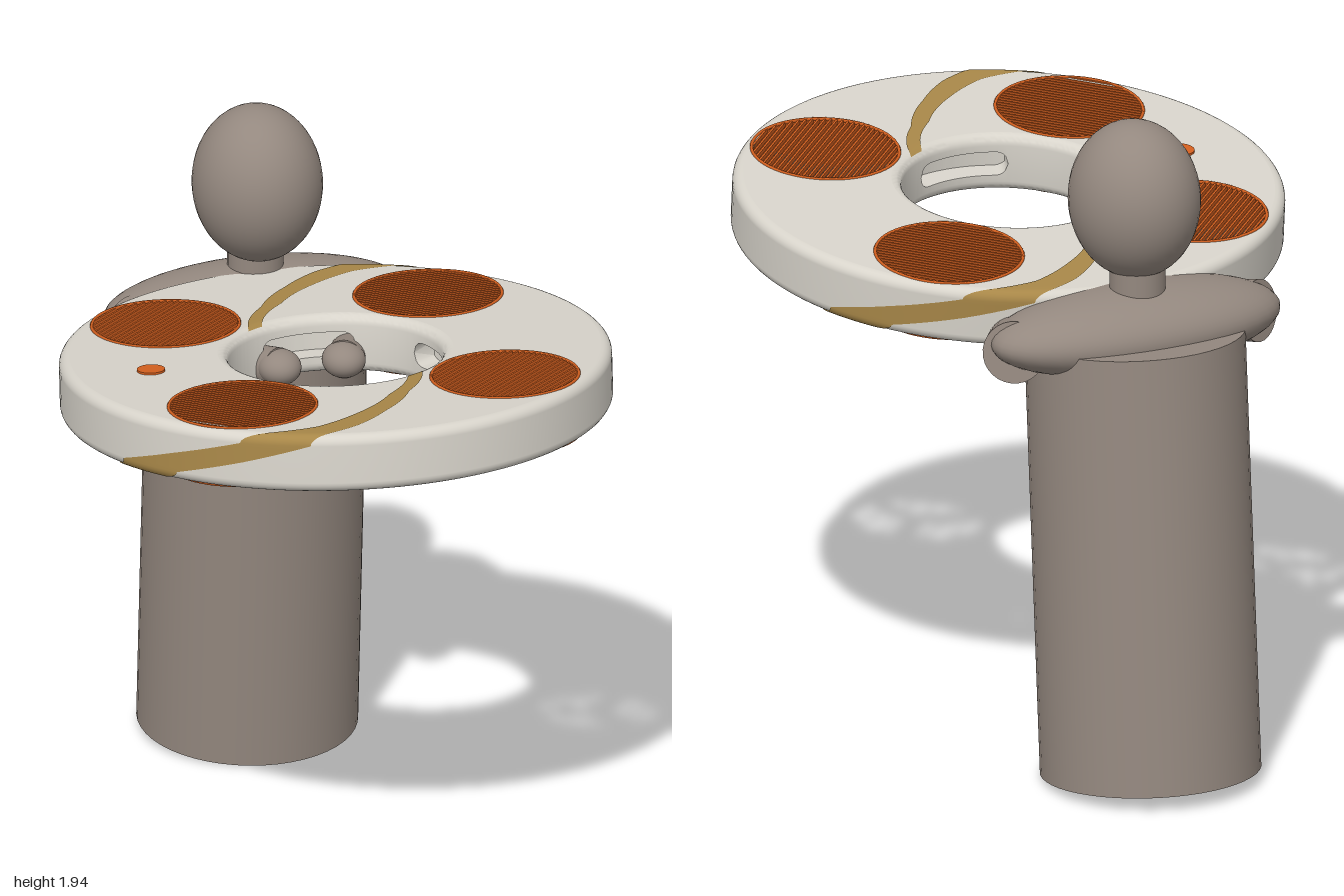
import * as THREE from 'three';
import { toCreasedNormals } from 'three/addons/utils/BufferGeometryUtils.js';

const mat = (name, color, side = THREE.FrontSide) => {
  const m = new THREE.MeshStandardMaterial({ color, side });
  m.name = name;
  return m;
};
const RAD = Math.PI / 180;

// ring dimensions
const RI = 0.305, RO = 0.785, H = 0.085, ROUND = 0.03;
const DUCT = 0.21, DUCT_POS = 0.388;

// quarter-round points about (cx, cy), angles in degrees
const arc = (cx, cy, a0, a1, n = 6) => Array.from({ length: n + 1 }, (_, i) => {
  const a = (a0 + (a1 - a0) * i / n) * RAD;
  return new THREE.Vector2(cx + ROUND * Math.cos(a), cy + ROUND * Math.sin(a));
});

export function createModel() {
  const model = new THREE.Group();
  const skin = mat('figure taupe', 0x94887f);
  const white = mat('ring off white', 0xd8d4cb);
  const orange = mat('grille orange', 0xd4601f, THREE.DoubleSide);
  const gold = mat('stripe gold', 0xa88748, THREE.DoubleSide);
  const dark = mat('fan brown', 0x6a5d53, THREE.DoubleSide);

  const add = (parent, name, geo, material, x = 0, y = 0, z = 0) => {
    const m = new THREE.Mesh(geo, material);
    m.name = name;
    m.position.set(x, y, z);
    parent.add(m);
    return m;
  };

  // ---- figure ----
  const figure = new THREE.Group();
  figure.name = 'figure';
  model.add(figure);
  const ball = (name, rx, ry, rz, x, y, z) =>
    add(figure, name, new THREE.SphereGeometry(1, 40, 28), skin, x, y, z).scale.set(rx, ry, rz);
  const limb = (name, a, b, ra, rb) => {
    const dir = b.clone().sub(a);
    const m = add(figure, name, new THREE.CylinderGeometry(rb, ra, dir.length(), 28), skin);
    m.position.copy(a).add(b).multiplyScalar(0.5);
    m.quaternion.setFromUnitVectors(new THREE.Vector3(0, 1, 0), dir.normalize());
  };
  add(figure, 'body', new THREE.CylinderGeometry(0.315, 0.315, 1.288, 48), skin, 0, 0.667, -0.637)
    .rotation.x = 4.4 * RAD;
  ball('shoulders', 0.45, 0.122, 0.205, 0, 1.332, -0.592);
  add(figure, 'neck', new THREE.CylinderGeometry(0.08, 0.08, 0.2, 32), skin, 0, 1.45, -0.605);
  ball('head', 0.185, 0.23, 0.205, 0, 1.71, -0.585);
  for (const s of [1, -1]) {
    const shoulder = new THREE.Vector3(s * 0.39, 1.313, -0.6);
    const elbow = new THREE.Vector3(s * 0.26, 1.275, -0.38);
    const hand = new THREE.Vector3(s * 0.095, 1.375, -0.04);
    limb('upperArm', shoulder, elbow, 0.09, 0.08);
    ball('elbow', 0.08, 0.08, 0.08, ...elbow.toArray());
    limb('forearm', elbow, hand, 0.075, 0.055);
    ball('hand', 0.062, 0.05, 0.068, ...hand.toArray());
  }

  // ---- ring ----
  const ring = new THREE.Group();
  ring.name = 'ring';
  ring.position.set(0, 1.43, 0.205);
  ring.rotation.x = -5 * RAD;
  model.add(ring);

  // top and bottom plates with four duct holes
  const plate = new THREE.Shape().absarc(0, 0, RO - ROUND, 0, Math.PI * 2);
  plate.holes.push(new THREE.Path().absarc(0, 0, RI + ROUND, 0, Math.PI * 2));
  const corners = [[1, 1], [-1, 1], [-1, -1], [1, -1]];
  for (const [x, z] of corners)
    plate.holes.push(new THREE.Path().absarc(x * DUCT_POS, z * DUCT_POS, DUCT, 0, Math.PI * 2));
  for (const s of [1, -1])
    add(ring, s > 0 ? 'topPlate' : 'bottomPlate', new THREE.ShapeGeometry(plate, 60), white, 0, s * H, 0)
      .rotation.x = -s * Math.PI / 2;

  // rounded outer edge
  const outer = [...arc(RO - ROUND, ROUND - H, -90, 0), ...arc(RO - ROUND, H - ROUND, 0, 90)];
  add(ring, 'outerEdge', new THREE.LatheGeometry(outer, 120), white);

  // rounded inner edge with four grip slots pressed into it
  const slot = [0, 1, 2, 3].map(() => new THREE.Vector2(RI, 0));
  const inner = [...arc(RI + ROUND, H - ROUND, 90, 180), ...slot, ...arc(RI + ROUND, ROUND - H, 180, 270)];
  const innerGeo = new THREE.LatheGeometry(inner, 240);
  const pos = innerGeo.attributes.position;
  for (let i = 0; i <= 240; i++) {
    const deg = i * 1.5, off = Math.abs(((deg + 45) % 90) - 45);
    const end = (27 - off) * RAD * RI, hh = 0.036;
    const h = end <= 0 ? 0 : end < hh ? Math.sqrt(hh * hh - (hh - end) ** 2) : hh;
    const deep = RI + (end > 0 ? 0.07 : 0);
    [[RI, h], [deep, h], [deep, -h], [RI, -h]].forEach(([r, y], j) =>
      pos.setXYZ(i * inner.length + 7 + j, r * Math.sin(deg * RAD), y, r * Math.cos(deg * RAD)));
  }
  add(ring, 'innerEdgeWithGrips', toCreasedNormals(innerGeo, 0.6), white);

  // ---- spiral stripes: across the top, round the rim and back underneath ----
  const keys = [[0.315, -30, 5], [0.444, -8, 4], [0.583, 6, 4], [0.7, 16, 4.6], [0.755, 23, 6], [0.785, 29, 7.5]];
  const lookup = (r, k) => {
    let i = 0;
    while (i < keys.length - 2 && r > keys[i + 1][0]) i++;
    const t = (r - keys[i][0]) / (keys[i + 1][0] - keys[i][0]);
    return keys[i][k] + (keys[i + 1][k] - keys[i][k]) * t;
  };
  const path = []; // stations: radius, height, angle, half width
  for (let i = 0; i <= 30; i++) {
    const r = 0.315 + 0.44 * i / 30;
    const dip = r < RI + ROUND ? ROUND - Math.sqrt(ROUND ** 2 - (RI + ROUND - r) ** 2) : 0;
    path.push([r, H - dip + 0.002, lookup(r, 1), lookup(r, 2)]);
  }
  for (const p of arc(RO - ROUND, H - ROUND, 75, 0, 5))
    path.push([p.x + 0.002, p.y + 0.002, lookup(p.x, 1), lookup(p.x, 2)]);
  for (let i = 1; i <= 5; i++) path.push([RO + 0.002, 0.057 * (1 - i / 5), 29 + 15 * i / 5, 7.5 + 0.5 * i / 5]);
  const under = path.slice(0, -1).reverse().map(([r, y, a, w]) => [r, -y, 88 - a, w]);
  const stations = [...path, ...under], W = 8;
  const verts = [], index = [];
  stations.forEach(([r, y, a, w], i) => {
    for (let j = 0; j <= W; j++) {
      const t = (a + w * (2 * j / W - 1)) * RAD;
      verts.push(r * Math.sin(t), y, -r * Math.cos(t));
      if (i && j) {
        const d = i * (W + 1) + j, c = d - 1, b = d - W - 1, e = b - 1;
        index.push(e, b, c, b, d, c);
      }
    }
  });
  const stripe = new THREE.BufferGeometry();
  stripe.setAttribute('position', new THREE.Float32BufferAttribute(verts, 3));
  stripe.setIndex(index);
  stripe.computeVertexNormals();
  for (const turn of [0, Math.PI]) add(ring, 'stripe', stripe, gold).rotation.y = turn;

  // power button
  add(ring, 'button', new THREE.CylinderGeometry(0.04, 0.04, 0.008, 32), orange, -0.545, H + 0.002, 0);

  // ---- ducted fans ----
  const bars = (parent, name, pitch, width, height, y, turn) => {
    const n = Math.floor((DUCT - 0.004) / pitch);
    for (let i = -n; i <= n; i++) {
      const len = 2 * Math.sqrt(DUCT ** 2 - (i * pitch) ** 2);
      const g = new THREE.BoxGeometry(len, height, width).translate(0, 0, i * pitch).rotateY(turn);
      add(parent, name, g, orange, 0, y, 0);
    }
  };
  corners.forEach(([x, z], k) => {
    const fan = new THREE.Group();
    fan.name = 'fan';
    fan.position.set(x * DUCT_POS, 0, z * DUCT_POS);
    fan.rotation.y = Math.atan2(x, z); // local z points away from the ring centre
    ring.add(fan);
    add(fan, 'ductWall', new THREE.CylinderGeometry(DUCT, DUCT, 2 * H, 56, 1, true), orange);
    for (const s of [1, -1])
      add(fan, 'ductRim', new THREE.TorusGeometry(DUCT, 0.005, 6, 56).rotateX(Math.PI / 2), orange, 0, s * H, 0);
    bars(fan, 'topGrille', 0.0165, 0.006, 0.014, H - 0.005, 0);
    bars(fan, 'bottomGrille', 0.066, 0.009, 0.012, 0.006 - H, 0);
    bars(fan, 'bottomGrille', 0.066, 0.009, 0.012, 0.006 - H, Math.PI / 2);
    add(fan, 'hub', new THREE.CylinderGeometry(0.03, 0.03, 0.05, 24), dark);
    for (let b = 0; b < 3; b++) {
      const blade = new THREE.BoxGeometry(0.18, 0.008, 0.065).rotateX(0.4).translate(0.105, 0, 0);
      add(fan, 'blade', blade, dark).rotation.y = b * Math.PI * 2 / 3 + k * 0.5;
    }
  });
  return model;
}
